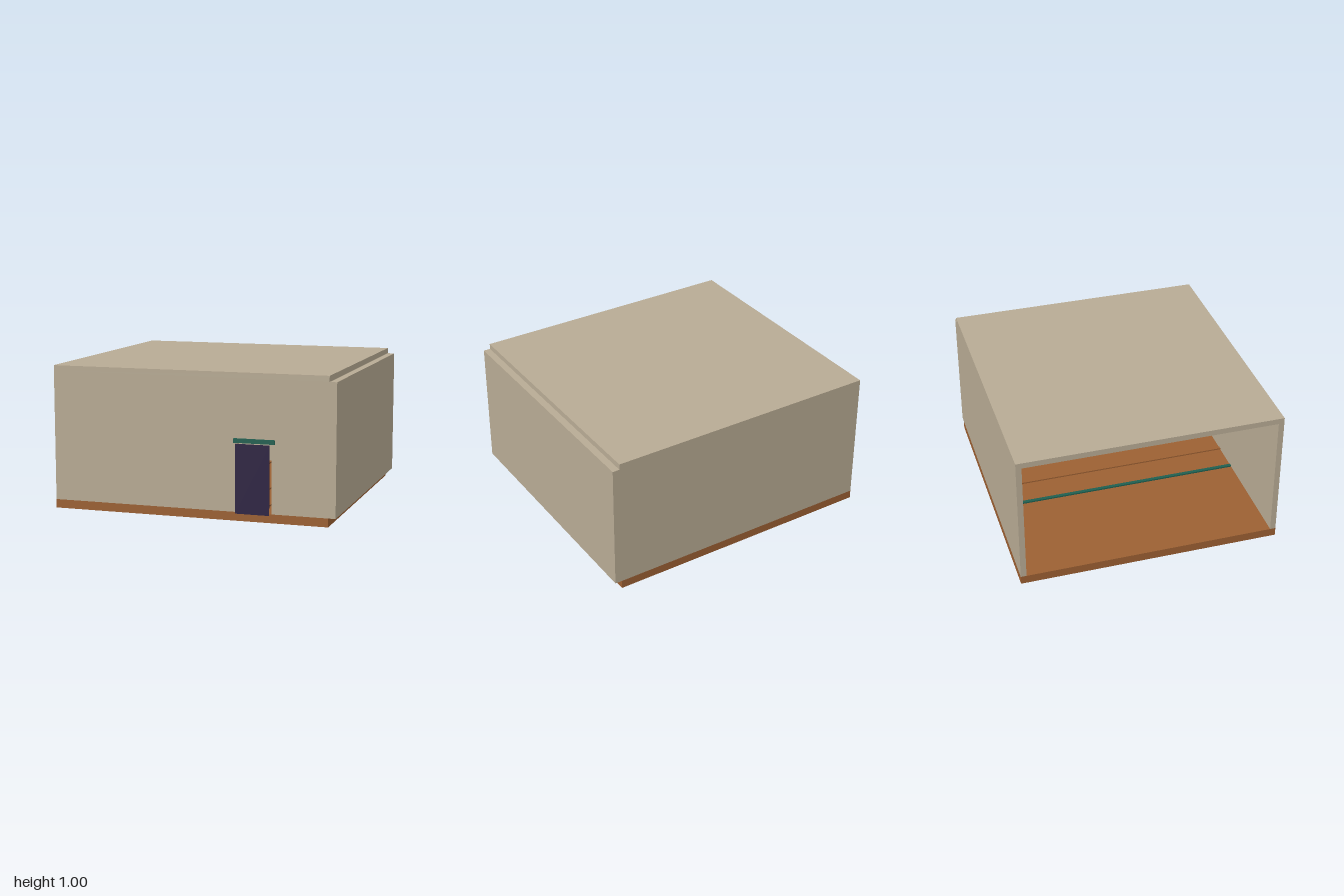
import * as THREE from 'three';

const mat = (name, color) => {
  const m = new THREE.MeshStandardMaterial({ color });
  m.name = name;
  return m;
};

export function createModel() {
  const plaster = mat('beige plaster', 0xb8ab94);
  const wood = mat('brown wood', 0x9c6033);
  const doorPaint = mat('dark purple', 0x2d2242);
  const trim = mat('teal trim', 0x1f5f50);

  const room = new THREE.Group();
  room.name = 'room';

  // Box given by its low and high limits on each axis
  const box = (name, material, [x0, x1], [y0, y1], [z0, z1]) => {
    const mesh = new THREE.Mesh(new THREE.BoxGeometry(x1 - x0, y1 - y0, z1 - z0), material);
    mesh.position.set((x0 + x1) / 2, (y0 + y1) / 2, (z0 + z1) / 2);
    mesh.name = name;
    room.add(mesh);
  };

  // Shell: floor, roof, back and side walls; the -x side stays open
  box('floor', wood, [-1, 0.95], [0, 0.06], [-0.95, 0.9]);
  box('roof', plaster, [-1, 0.95], [0.96, 1], [-0.95, 0.9]);
  box('backWall', plaster, [-1, 0.95], [0.06, 0.96], [-0.95, -0.91]);
  box('sideWall', plaster, [0.95, 1], [0.06, 0.96], [-0.95, 0.9]);

  // Front wall with a doorway notched into its lower edge
  const outline = [[-1, 0.06], [0.325, 0.06], [0.325, 0.53], [0.563, 0.53],
    [0.563, 0.06], [0.95, 0.06], [0.95, 0.96], [-1, 0.96]];
  const shape = new THREE.Shape(outline.map(([x, y]) => new THREE.Vector2(x, y)));
  const frontWall = new THREE.Mesh(
    new THREE.ExtrudeGeometry(shape, { depth: 0.04, bevelEnabled: false }), plaster);
  frontWall.position.z = 0.86;
  frontWall.name = 'frontWall';
  room.add(frontWall);

  // Door standing just ahead of the doorway, with its lintel
  box('door', doorPaint, [0.325, 0.56], [0.06, 0.53], [0.94, 0.95]);
  box('lintel', trim, [0.3, 0.585], [0.53, 0.56], [0.9, 0.91]);

  // Low strips across the floor
  box('floorStrip', trim, [-0.22, -0.195], [0.06, 0.07], [-0.91, 0.86]);
  for (const x of [0.015, 0.3, 0.46]) {
    box('floorBatten', wood, [x, x + 0.025], [0.06, 0.07], [-0.91, 0.86]);
  }

  return room;
}
